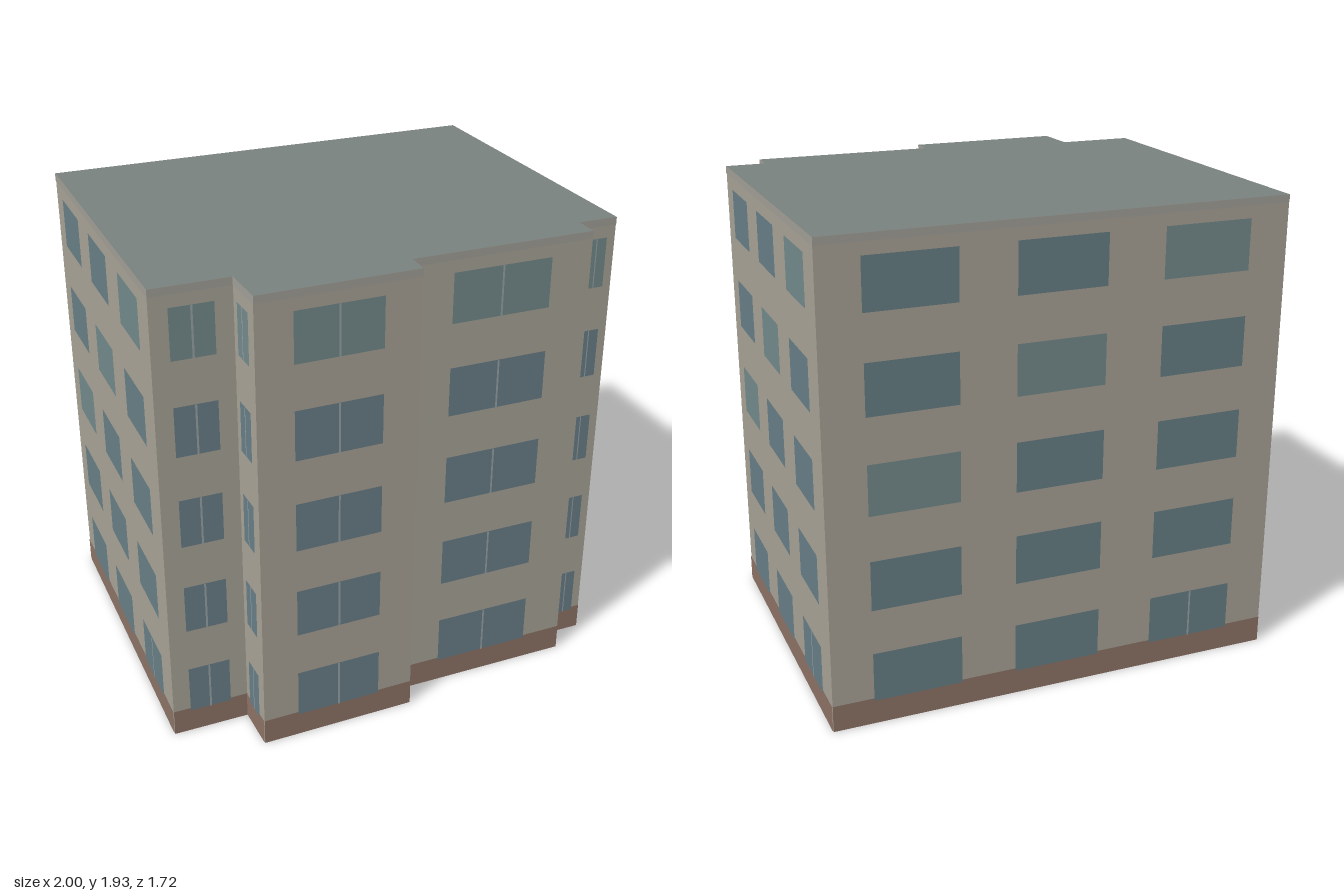
import * as THREE from 'three';

const HEIGHT = 1.93, BASE = 0.11, COPING = 0.03;
const FLOORS = 5, SILL = 0.1, FLOOR_HEIGHT = 0.387, WINDOW_HEIGHT = 0.204;

// Footprint corners [x, z], walked left to right along the front, then round the back
const FOOTPRINT = [
  [-0.877, 0.695], [-0.567, 0.667], [-0.545, 0.857], [0.094, 0.793], [0.088, 0.698],
  [0.84, 0.63], [0.833, 0.53], [0.997, 0.515], [0.873, -0.86], [-0.997, -0.687],
];
// Name and number of windows per floor for the wall that starts at each corner
const WALLS = [
  ['frontLeftWall', 1], ['bayLeftReturn', 1], ['bayWall', 1], ['bayRightReturn', 0],
  ['frontRightWall', 1], ['cornerReturn', 0], ['cornerWall', 1],
  ['rightWall', 3], ['backWall', 3], ['leftWall', 3],
];
// Window start and end as fractions of the wall length
const SPANS = { 0: [], 1: [[0.225, 0.77]], 3: [[0.088, 0.28], [0.4, 0.593], [0.718, 0.912]] };

const paint = (color, side = THREE.FrontSide) =>
  new THREE.MeshStandardMaterial({ color, side });

export function createModel() {
  const model = new THREE.Group();
  model.name = 'apartmentBlock';
  const mats = {
    wall: paint(0xa8a397, THREE.DoubleSide),
    roof: paint(0x7a827f, THREE.DoubleSide),
    base: paint(0x8d7366),
    coping: paint(0xa29f98),
    glass: paint(0x687f87),
    paleGlass: paint(0x748a8c),
    mullion: paint(0x98a4a5),
  };

  FOOTPRINT.forEach(([x0, z0], i) => {
    const [x1, z1] = FOOTPRINT[(i + 1) % FOOTPRINT.length];
    const length = Math.hypot(x1 - x0, z1 - z0);
    const [name, count] = WALLS[i];

    // Wall group: local x runs along the wall, local z points outwards
    const wall = new THREE.Group();
    wall.name = name;
    wall.position.set(x0, 0, z0);
    wall.rotation.y = Math.atan2(z0 - z1, x1 - x0);
    model.add(wall);

    const panel = (part, mat, a, b, bottom, top, out) => {
      const mesh = new THREE.Mesh(new THREE.PlaneGeometry(b - a, top - bottom), mat);
      mesh.name = part;
      mesh.position.set((a + b) / 2, (bottom + top) / 2, out);
      wall.add(mesh);
    };

    // Facade with the plinth band below and the coping strip above
    panel('facade', mats.wall, 0, length, 0, HEIGHT, 0);
    panel('plinth', mats.base, 0, length, 0, BASE, 0.002);
    panel('coping', mats.coping, 0, length, HEIGHT - COPING, HEIGHT, 0.002);

    // Windows on every floor; some panes are paler, some are split by a mullion
    SPANS[count].forEach(([s, e], col) => {
      for (let floor = 0; floor < FLOORS; floor++) {
        const y = SILL + floor * FLOOR_HEIGHT;
        const pale = count === 1 ? floor === 4 : col === floor - 2;
        panel('window', pale ? mats.paleGlass : mats.glass,
          s * length, e * length, y, y + WINDOW_HEIGHT, 0.004);
        if (count === 1 || (col === 2 && floor === 0)) {
          const mid = (s + e) / 2 * length;
          const half = Math.min(0.004, length * 0.015);
          panel('mullion', mats.mullion, mid - half, mid + half, y, y + WINDOW_HEIGHT, 0.006);
        }
      }
    });
  });

  // Flat roof following the footprint
  const outline = new THREE.Shape(FOOTPRINT.map(([x, z]) => new THREE.Vector2(x, -z)));
  const roof = new THREE.Mesh(new THREE.ShapeGeometry(outline), mats.roof);
  roof.name = 'roof';
  roof.rotation.x = -Math.PI / 2;
  roof.position.y = HEIGHT;
  model.add(roof);

  return model;
}
